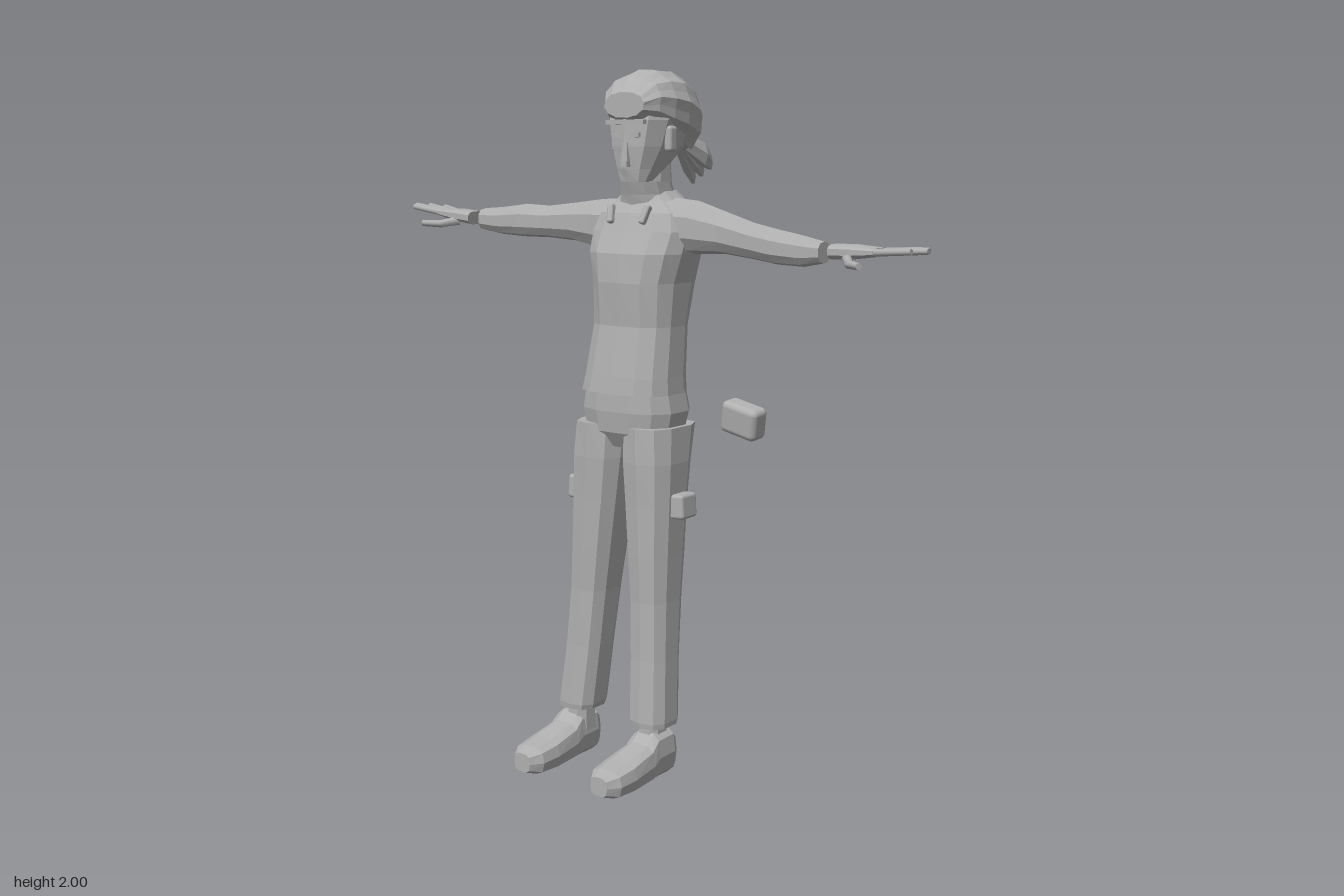
import * as THREE from 'three';
import { RoundedBoxGeometry } from 'three/addons/geometries/RoundedBoxGeometry.js';

const grey = new THREE.MeshStandardMaterial({ color: 0xb0b0b0 });
grey.name = 'plain grey';

function add(parent, name, geometry, pos = [0, 0, 0], rot = [0, 0, 0]) {
  const mesh = new THREE.Mesh(geometry, grey);
  mesh.name = name;
  mesh.position.set(...pos);
  mesh.rotation.set(...rot);
  parent.add(mesh);
  return mesh;
}

// Faceted body through cross-sections [t, centreA, centreB, radiusA, radiusB], t rising along the axis.
// Axis y: a = x, b = z. Axis x: a = z, b = y. Axis z: a = y, b = x.
function loft(axis, sections, sides = 10, power = 0.8, ridge = 0) {
  const place = {
    y: (a, t, b) => [a, t, b],
    x: (a, t, b) => [t, b, a],
    z: (a, t, b) => [b, a, t],
  }[axis];
  const soft = (v) => Math.sign(v) * Math.abs(v) ** power;
  const pos = [], idx = [];
  for (const [t, ca, cb, ra, rb] of sections) {
    for (let i = 0; i < sides; i++) {
      const q = ((i + 0.5) / sides) * Math.PI * 2;
      const k = i % 2 ? 1 : 1 - ridge;
      pos.push(...place(ca + ra * k * soft(Math.cos(q)), t, cb + rb * k * soft(Math.sin(q))));
    }
  }
  const last = sections.length - 1;
  for (let j = 0; j < last; j++) {
    for (let i = 0; i < sides; i++) {
      const n = (i + 1) % sides, lo = j * sides, hi = lo + sides;
      idx.push(lo + i, hi + i, hi + n, lo + i, hi + n, lo + n);
    }
  }
  // End caps
  for (const [j, up] of [[0, false], [last, true]]) {
    const c = pos.length / 3, [t, ca, cb] = sections[j];
    pos.push(...place(ca, t, cb));
    for (let i = 0; i < sides; i++) {
      const p = j * sides + i, n = j * sides + ((i + 1) % sides);
      idx.push(c, up ? n : p, up ? p : n);
    }
  }
  const g = new THREE.BufferGeometry();
  g.setAttribute('position', new THREE.Float32BufferAttribute(pos, 3));
  g.setIndex(idx);
  const flat = g.toNonIndexed();
  flat.computeVertexNormals();
  return flat;
}

// Tapered rod between two points
function rod(parent, name, from, to, r0, r1) {
  const a = new THREE.Vector3(...from), d = new THREE.Vector3(...to).sub(a);
  const mesh = add(parent, name, new THREE.CylinderGeometry(r1, r0, d.length(), 8));
  mesh.position.copy(a).addScaledVector(d, 0.5);
  mesh.quaternion.setFromUnitVectors(new THREE.Vector3(0, 1, 0), d.normalize());
}

function addHead(model) {
  const head = new THREE.Group();
  head.name = 'head';
  model.add(head);
  add(head, 'neck', loft('y', [[1.6, 0.005, -0.05, 0.06, 0.06], [1.78, 0.01, -0.04, 0.05, 0.055]]));
  add(head, 'face', loft('y', [
    [1.695, 0.01, 0.025, 0.045, 0.035], [1.73, 0.01, 0.0, 0.058, 0.068],
    [1.79, 0.01, -0.03, 0.082, 0.105], [1.86, 0.01, -0.04, 0.1, 0.113], [1.91, 0.01, -0.05, 0.1, 0.11],
  ], 10, 0.75));
  add(head, 'nose', loft('y', [
    [1.735, 0.01, 0.07, 0.014, 0.022], [1.75, 0.01, 0.07, 0.014, 0.02], [1.83, 0.01, 0.062, 0.007, 0.014],
  ], 6));
  add(head, 'browLine', new THREE.BoxGeometry(0.13, 0.012, 0.016), [0.01, 1.855, 0.07]);
  for (const s of [-1, 1]) {
    add(head, 'eye', new THREE.BoxGeometry(0.032, 0.012, 0.008), [0.01 + s * 0.03, 1.82, 0.068]);
    add(head, 'ear', new RoundedBoxGeometry(0.025, 0.07, 0.035, 2, 0.01), [0.01 + s * 0.092, 1.81, -0.01]);
  }
  // Swept-back ridged hair
  add(head, 'hair', loft('z', [
    [-0.2, 1.85, 0.01, 0.045, 0.045], [-0.175, 1.862, 0.01, 0.085, 0.08],
    [-0.13, 1.875, 0.01, 0.108, 0.105], [-0.07, 1.893, 0.01, 0.107, 0.118],
    [-0.01, 1.903, 0.01, 0.095, 0.115], [0.04, 1.91, 0.01, 0.07, 0.1], [0.078, 1.9, 0.01, 0.035, 0.07],
  ], 24, 0.95, 0.05));
  add(head, 'hairTie', new THREE.TorusGeometry(0.024, 0.012, 6, 10), [0.01, 1.805, -0.19], [0.6, 0, 0]);
  // Ponytail strands
  for (const s of [-1, 0, 1]) {
    add(head, 'ponytailStrand', loft('z', [
      [-0.285, 1.725 + s * 0.02, 0.007 + s * 0.03, 0.022, 0.01],
      [-0.25, 1.76 + s * 0.01, 0.007 + s * 0.026, 0.035, 0.022],
      [-0.18, 1.805, 0.008 + s * 0.008, 0.025, 0.018],
    ], 6));
  }
}

function addTorso(model) {
  add(model, 'shirt', loft('y', [
    [1.112, -0.02, -0.005, 0.15, 0.115], [1.16, -0.015, -0.005, 0.143, 0.11],
    [1.3, -0.007, -0.018, 0.133, 0.103], [1.42, -0.003, -0.028, 0.137, 0.123],
    [1.5, -0.002, -0.033, 0.158, 0.122], [1.56, 0, -0.045, 0.165, 0.11],
    [1.61, 0.002, -0.05, 0.145, 0.098], [1.645, 0.003, -0.052, 0.095, 0.08], [1.67, 0.004, -0.05, 0.065, 0.068],
  ], 14, 0.75));
  add(model, 'collar', loft('y', [
    [1.63, 0.003, -0.045, 0.08, 0.08], [1.66, 0.005, -0.035, 0.068, 0.077], [1.695, 0.007, -0.022, 0.062, 0.075],
  ]));
  for (const s of [-1, 1]) {
    add(model, 'collarToggle', new RoundedBoxGeometry(0.02, 0.055, 0.02, 1, 0.006), [s * 0.06, 1.607, 0.048], [-0.35, 0, s * -0.2]);
  }
  // Sleeves
  add(model, 'rightArm', loft('x', [
    [-0.6, -0.015, 1.577, 0.032, 0.032], [-0.53, -0.02, 1.574, 0.04, 0.04],
    [-0.44, -0.028, 1.577, 0.044, 0.048], [-0.36, -0.036, 1.575, 0.044, 0.046],
    [-0.26, -0.045, 1.577, 0.052, 0.055], [-0.17, -0.05, 1.573, 0.062, 0.07], [-0.08, -0.05, 1.57, 0.075, 0.078],
  ]));
  add(model, 'leftArm', loft('x', [
    [0.08, -0.05, 1.575, 0.075, 0.077], [0.17, -0.05, 1.572, 0.062, 0.072],
    [0.26, -0.05, 1.56, 0.052, 0.057], [0.36, -0.038, 1.542, 0.046, 0.048],
    [0.44, -0.028, 1.53, 0.046, 0.046], [0.53, -0.018, 1.522, 0.038, 0.04], [0.595, -0.008, 1.522, 0.03, 0.028],
  ]));
}

function addHand(model, s, y, tilt) {
  const hand = new THREE.Group();
  hand.name = s > 0 ? 'leftHand' : 'rightHand';
  hand.position.set(s * 0.628, y, -0.006);
  hand.rotation.z = s * tilt;
  model.add(hand);
  const palm = [[0, 0, 0, 0.038, 0.02], [s * 0.06, 0, 0, 0.043, 0.019], [s * 0.13, -0.006, 0, 0.044, 0.011]];
  add(hand, 'palm', loft('x', s > 0 ? palm : palm.reverse(), 12, 0.65));
  // Four spread fingers: root z, tip x, tip z
  for (const [z0, x1, z1] of [[-0.042, 0.21, -0.074], [-0.02, 0.245, -0.044], [0.004, 0.262, -0.004], [0.026, 0.235, 0.032]]) {
    rod(hand, 'finger', [s * 0.115, 0, z0], [s * x1, 0.004, z1], 0.01, 0.008);
  }
  rod(hand, 'thumbBase', [s * 0.05, -0.014, 0.025], [s * 0.082, -0.027, 0.07], 0.014, 0.011);
  rod(hand, 'thumbTip', [s * 0.078, -0.027, 0.066], [s * 0.128, -0.03, 0.1], 0.011, 0.009);
}

function addLegs(model) {
  add(model, 'hips', loft('y', [
    [0.955, -0.022, -0.01, 0.06, 0.07], [1.0, -0.022, -0.016, 0.145, 0.105],
    [1.06, -0.022, -0.018, 0.158, 0.115], [1.125, -0.02, -0.012, 0.146, 0.108],
  ], 12, 0.75));
  // Trousers, shoes and thigh pockets share one rule, sheared to each foot
  for (const [side, cx, foot] of [['right', -0.108, -0.19], ['left', 0.062, 0.078]]) {
    const at = (y) => foot + (cx - foot) * Math.min(1, Math.max(0, (y - 0.155) / 0.87)) ** 0.85;
    const leg = new THREE.Group();
    leg.name = side + 'Leg';
    model.add(leg);
    add(leg, 'trouserLeg', loft('y', [
      [0.155, at(0.155), 0.028, 0.061, 0.067], [0.17, at(0.17), 0.028, 0.063, 0.069],
      [0.35, at(0.35), 0.019, 0.062, 0.069], [0.52, at(0.52), 0.01, 0.063, 0.075],
      [0.65, at(0.65), 0.006, 0.069, 0.083], [0.8, at(0.8), 0.003, 0.077, 0.089],
      [0.92, at(0.92), -0.002, 0.083, 0.099], [1.02, at(1.02), -0.016, 0.08, 0.112],
    ], 10, 0.75));
    add(leg, 'ankle', loft('y', [[0.08, foot, 0.035, 0.04, 0.045], [0.18, foot, 0.035, 0.036, 0.042]], 8));
    const fx = foot - (side === 'right' ? 0.014 : -0.004);
    add(leg, 'shoe', loft('z', [
      [-0.025, 0.065, fx, 0.053, 0.038], [0.0, 0.072, fx, 0.071, 0.052],
      [0.07, 0.071, fx, 0.07, 0.053], [0.1, 0.057, fx, 0.056, 0.057],
      [0.19, 0.046, fx, 0.046, 0.061], [0.25, 0.042, fx, 0.04, 0.055], [0.285, 0.042, fx, 0.028, 0.03],
    ], 10, 0.65));
    const out = side === 'right' ? -1 : 1;
    add(leg, 'thighPocket', new RoundedBoxGeometry(0.05, 0.07, 0.072, 2, 0.01),
      [side === 'right' ? -0.216 : 0.154, side === 'right' ? 0.81 : 0.8, -0.003], [0, 0, out * 0.06]);
  }
}

export function createModel() {
  const model = new THREE.Group();
  model.name = 'figure';
  addHead(model);
  addTorso(model);
  addHand(model, -1, 1.58, 0.11);
  addHand(model, 1, 1.526, 0.02);
  addLegs(model);
  // Pouch floating behind the left hip
  add(model, 'hipPouch', new RoundedBoxGeometry(0.128, 0.095, 0.066, 3, 0.018), [0.208, 1.021, -0.22], [0.12, -0.1, -0.18]);
  return model;
}
